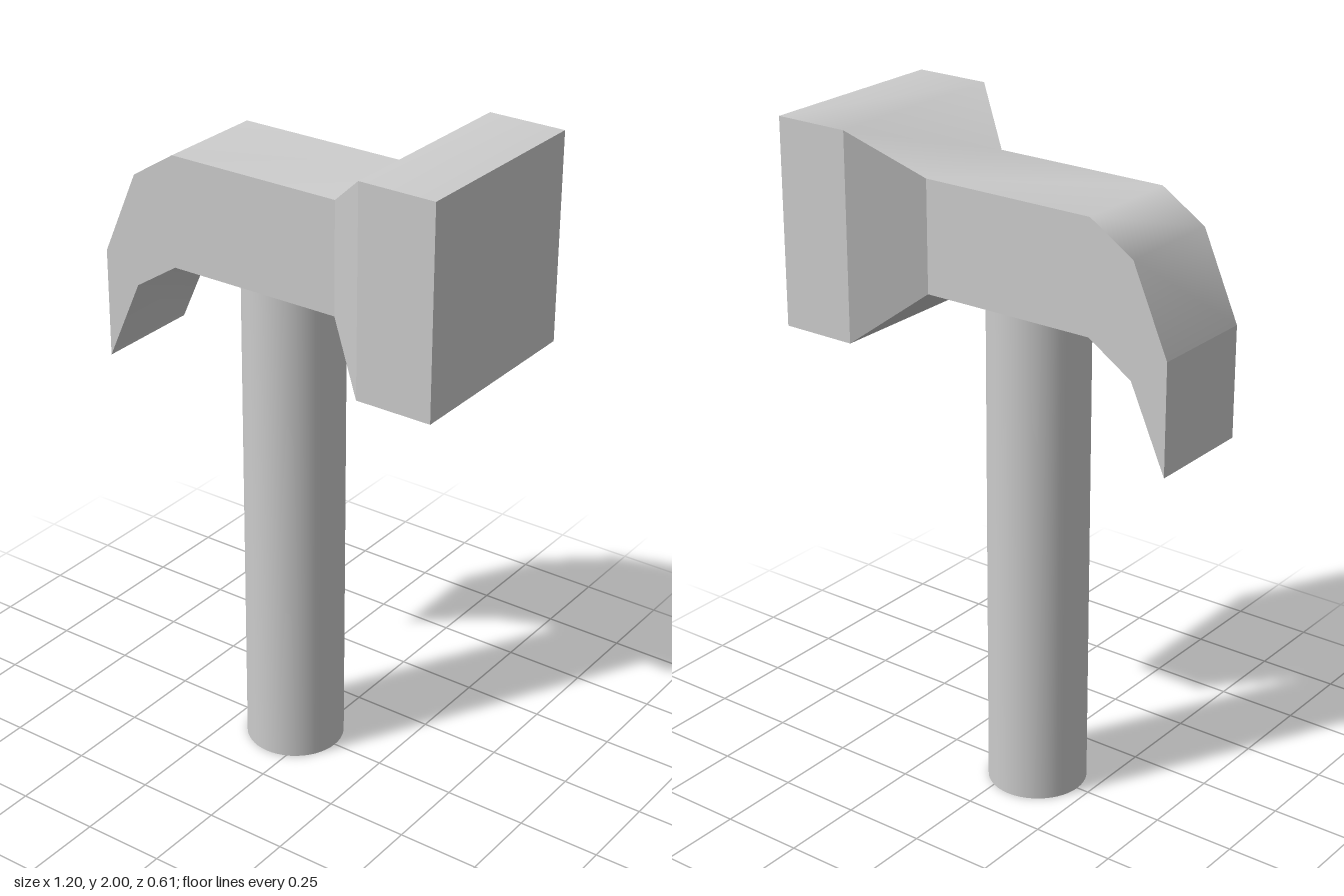
import * as THREE from 'three';
import { mergeGeometries, mergeVertices } from 'three/addons/utils/BufferGeometryUtils.js';

// Head sections from claw tip to striking face: [x, bottom y, top y, half depth]
const SECTIONS = [
  [-0.6, 1.19, 1.52, 0.168],
  [-0.488, 1.44, 1.775, 0.168],
  [-0.35, 1.53, 1.863, 0.168],
  [0.195, 1.53, 1.863, 0.168],
  [0.365, 1.387, 2.0, 0.307],
  [0.597, 1.387, 2.0, 0.307],
];

// Corners of a section: top front, top back, bottom back, bottom front
const corners = ([x, y0, y1, w]) => [[x, y1, w], [x, y1, -w], [x, y0, -w], [x, y0, w]];

// Geometry from quads, either flat or smoothed along its length
function quadGeometry(quads, smooth) {
  const points = quads.flatMap(([a, b, c, d]) => [a, b, c, a, c, d]).flat();
  const flat = new THREE.BufferGeometry();
  flat.setAttribute('position', new THREE.Float32BufferAttribute(points, 3));
  const geometry = smooth ? mergeVertices(flat) : flat;
  geometry.computeVertexNormals();
  return smooth ? geometry.toNonIndexed() : geometry;
}

function headGeometry() {
  const rings = SECTIONS.map(corners);
  const side = (p, q) => rings.slice(1).map((next, i) => [rings[i][p], next[p], next[q], rings[i][q]]);
  const tip = rings[0];
  const face = [...rings[rings.length - 1]].reverse();
  return mergeGeometries([
    quadGeometry(side(0, 1), true), // top
    quadGeometry(side(2, 3), true), // underside
    quadGeometry([...side(3, 0), ...side(1, 2), tip, face], false), // cheeks and ends
  ]);
}

export function createModel() {
  const model = new THREE.Group();
  model.name = 'hammer';
  const material = new THREE.MeshStandardMaterial({ color: 0xcccccc });

  // Claw, neck and striking block in one piece
  const head = new THREE.Mesh(headGeometry(), material);
  head.name = 'head';

  // Round handle, set under the neck
  const height = 1.53;
  const handle = new THREE.Mesh(new THREE.CylinderGeometry(0.148, 0.148, height, 48), material);
  handle.name = 'handle';
  handle.position.set(-0.063, height / 2, 0);

  model.add(head, handle);
  return model;
}
